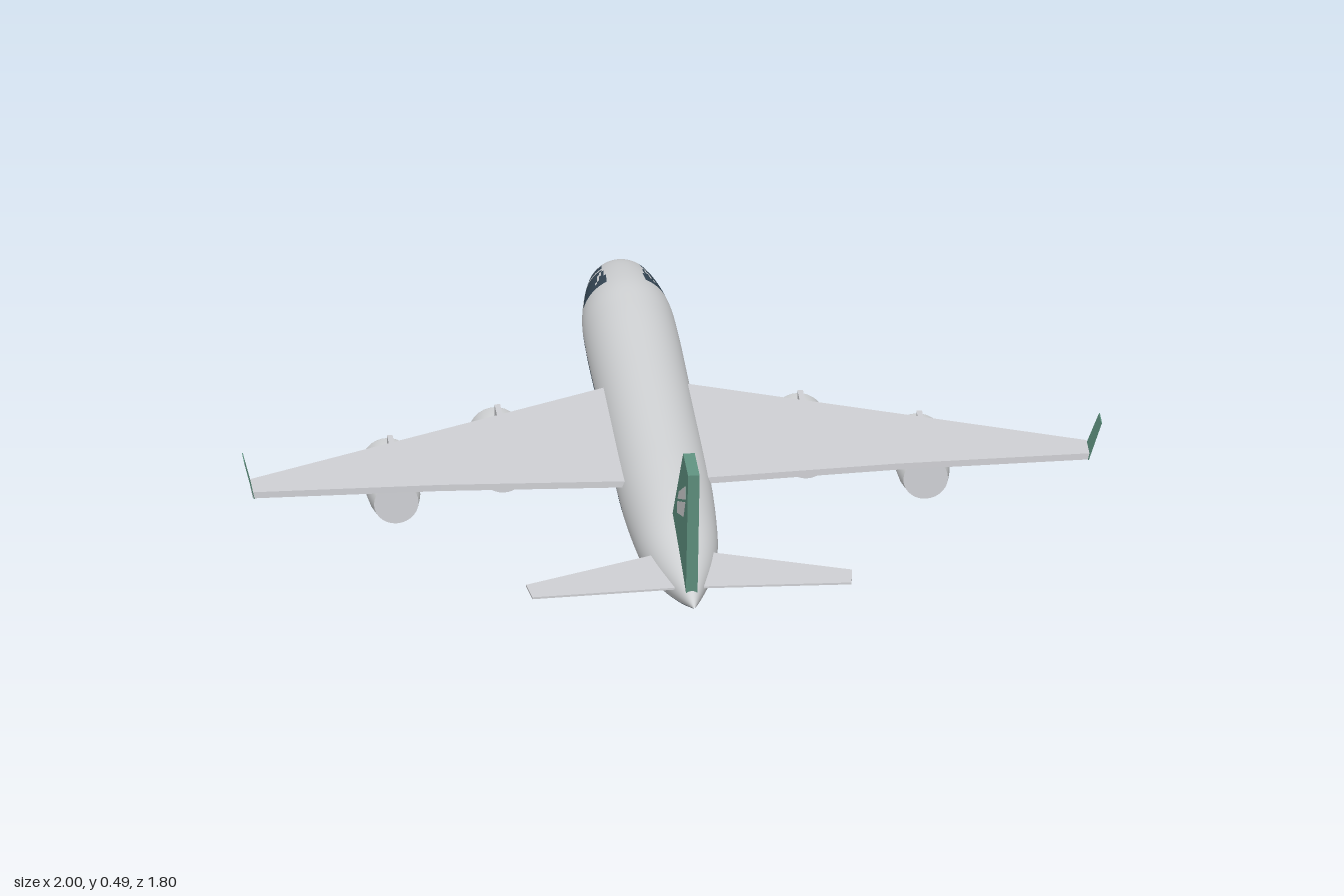
import * as THREE from 'three';

const mat = (name, color) => Object.assign(new THREE.MeshStandardMaterial({ color }), { name });

export function createModel() {
  const model = new THREE.Group();
  model.name = 'jetTransport';
  const hull = mat('hullGrey', 0xd3d5d7);
  const wingGrey = mat('wingGrey', 0xcfd0d4);
  const belly = mat('bellySlate', 0x7d8994);
  const navy = mat('darkNavy', 0x364857);
  const green = mat('tailGreen', 0x619482);
  const dark = mat('spinnerDark', 0x505358);

  const add = (name, geometry, material) => {
    const mesh = new THREE.Mesh(geometry, material);
    mesh.name = name;
    model.add(mesh);
    return mesh;
  };

  // Flat slab: polygon swept by +-off/2, corner order is fixed automatically
  function slab(points, off) {
    const p = points.map((a) => new THREE.Vector3(...a));
    const o = new THREE.Vector3(...off).multiplyScalar(0.5);
    const normal = new THREE.Vector3();
    p.forEach((v, i) => normal.add(v.clone().cross(p[(i + 1) % p.length])));
    if (normal.dot(o) < 0) p.reverse();
    const top = p.map((v) => v.clone().add(o));
    const low = p.map((v) => v.clone().sub(o));
    const out = [];
    const tri = (...vs) => vs.forEach((v) => out.push(v.x, v.y, v.z));
    // The fan starts at the first given corner, even when reversed
    const first = p.findIndex((v) => v.equals(new THREE.Vector3(...points[0])));
    const count = p.length;
    for (let i = 1; i < count - 1; i++) {
      const a = (first + i) % count;
      const b = (first + i + 1) % count;
      tri(top[first], top[a], top[b]);
      tri(low[first], low[b], low[a]);
    }
    for (let i = 0; i < count; i++) {
      const j = (i + 1) % count;
      tri(low[i], low[j], top[j]);
      tri(low[i], top[j], top[i]);
    }
    const g = new THREE.BufferGeometry();
    g.setAttribute('position', new THREE.Float32BufferAttribute(out, 3));
    g.computeVertexNormals();
    return g;
  }

  // Fuselage stations: z, top, bottom, half width
  const stations = [
    [-0.9, 0.097, 0.093, 0.002], [-0.88, 0.126, 0.073, 0.026], [-0.85, 0.158, 0.055, 0.049],
    [-0.8, 0.192, 0.036, 0.077], [-0.66, 0.22, 0.01, 0.103], [-0.52, 0.226, 0.004, 0.109],
    [-0.29, 0.226, 0.004, 0.109], [-0.08, 0.226, 0.004, 0.109], [0.14, 0.226, 0.004, 0.109],
    [0.28, 0.226, 0.005, 0.107], [0.43, 0.223, 0.017, 0.1], [0.55, 0.215, 0.035, 0.09],
    [0.66, 0.2, 0.062, 0.07], [0.78, 0.181, 0.102, 0.037], [0.9, 0.157, 0.153, 0.002],
  ];
  const heights = new THREE.CatmullRomCurve3(
    stations.map((s) => new THREE.Vector3(s[0], s[1], s[2])), false, 'catmullrom', 0.5);
  const widths = new THREE.CatmullRomCurve3(
    stations.map((s) => new THREE.Vector3(s[0], s[3], 0)), false, 'catmullrom', 0.5);

  // Paint zones of the fuselage skin: 0 hull, 1 belly, 2 navy
  function paintZone(x, y, z, cy, ry) {
    // Cockpit glass with thin frames
    if (z > -0.8 && z < -0.66 && y > 0.14 && y < 0.208 && Math.abs(x) > 0.045) {
      const post = Math.abs(z + 0.762) < 0.006;
      const rail = Math.abs(y - 0.19) < 0.0026 && z > -0.77 && z < -0.69;
      return post || rail ? 0 : 2;
    }
    // Rear wedge reaches further under the belly toward the tail
    const wedge = z >= 0.28 && z < 0.58;
    const reach = wedge ? 0.64 + (z - 0.28) * 0.9 : 0.64;
    if (y < cy - reach * ry) return 1;
    if (wedge) return y < 0.072 ? 2 : 0;
    if (z > 0.14 && z < 0.28) return y < 0.104 ? 2 : 0;
    if (z < -0.72 && z > -0.89) return y < 0.064 + (-z - 0.72) * 0.16 ? 2 : 0;
    if (z < -0.29 && z > -0.72) return y < 0.106 - Math.max(0, -z - 0.6) * 0.36 ? 2 : 0;
    return 0;
  }

  function fuselageGeometry() {
    const rings = (stations.length - 1) * 12;
    const sides = 96;
    const pos = [];
    const zones = [[], [], []];
    const info = [];
    for (let i = 0; i <= rings; i++) {
      const h = heights.getPoint(i / rings);
      const w = widths.getPoint(i / rings).y;
      const cy = (h.y + h.z) / 2;
      const ry = (h.y - h.z) / 2;
      info.push([h.x, cy, ry, w]);
      for (let j = 0; j < sides; j++) {
        const a = (j / sides) * Math.PI * 2;
        pos.push(Math.cos(a) * w, cy + Math.sin(a) * ry, h.x);
      }
    }
    for (let i = 0; i < rings; i++) {
      const [z, cy, ry, w] = info[i].map((v, k) => (v + info[i + 1][k]) / 2);
      for (let j = 0; j < sides; j++) {
        const a = ((j + 0.5) / sides) * Math.PI * 2;
        const k = (j + 1) % sides;
        const zone = paintZone(Math.cos(a) * w, cy + Math.sin(a) * ry, z, cy, ry);
        const p = i * sides;
        const q = p + sides;
        zones[zone].push(p + j, p + k, q + j, p + k, q + k, q + j);
      }
    }
    const g = new THREE.BufferGeometry();
    g.setAttribute('position', new THREE.Float32BufferAttribute(pos, 3));
    g.setIndex(zones.flat());
    let start = 0;
    zones.forEach((zone, m) => {
      g.addGroup(start, zone.length, m);
      start += zone.length;
    });
    g.computeVertexNormals();
    return g;
  }
  add('fuselage', fuselageGeometry(), [hull, belly, navy]);

  // Engine nacelle profile along its axis, front at 0
  const nacelleProfile = [
    [0.058, 0], [0.062, 0.01], [0.064, 0.05], [0.064, 0.13], [0.06, 0.18], [0.052, 0.22],
  ].map((p) => new THREE.Vector2(...p));
  const nacelle = new THREE.LatheGeometry(nacelleProfile, 28).rotateX(Math.PI / 2);
  const spinner = new THREE.ConeGeometry(0.007, 0.014, 12).rotateX(-Math.PI / 2);

  for (const s of [1, -1]) {
    const side = s > 0 ? 'left' : 'right';
    const at = (x, z) => [s * x, 0.155 + (x - 0.1) * 0.084, z];

    add(side + 'Wing', slab([
      at(0.53, 0.305), at(0.975, 0.37), at(0.975, 0.303), at(0.06, -0.239), at(0.06, 0.256),
    ], [0, 0.016, 0]), wingGrey);

    add(side + 'Winglet', slab([
      [s * 0.972, 0.22, 0.303], [s * 0.972, 0.22, 0.373],
      [s * 0.999, 0.336, 0.412], [s * 0.999, 0.336, 0.362],
    ], [0.002, 0, 0]), green);

    add(side + 'Tailplane', slab([
      [s * 0.02, 0.149, 0.597], [s * 0.38, 0.172, 0.78],
      [s * 0.372, 0.172, 0.845], [s * 0.02, 0.149, 0.785],
    ], [0, 0.005, 0]), wingGrey);

    // Two engines under each wing
    for (const [x, front, label] of [[0.353, -0.215, 'Inner'], [0.617, -0.085, 'Outer']]) {
      const place = (part, geometry, material, y, z) =>
        add(side + label + part, geometry, material).position.set(s * x, y, front + z);
      place('Nacelle', nacelle, hull, 0.068, 0);
      place('Intake', new THREE.CircleGeometry(0.058, 28).rotateY(Math.PI), wingGrey, 0.068, 0);
      place('Exhaust', new THREE.CircleGeometry(0.052, 28), wingGrey, 0.068, 0.22);
      place('Spinner', spinner, dark, 0.068, -0.006);
      place('Pylon', new THREE.BoxGeometry(0.013, 0.055, 0.15), wingGrey, 0.142, 0.145);
    }

    // Slanted stripes on the fin
    const stripes = [
      [[0.828, 0.437], [0.685, 0.35], [0.655, 0.316], [0.828, 0.402]],
      [[0.828, 0.395], [0.65, 0.307], [0.64, 0.272], [0.785, 0.335]],
    ];
    stripes.forEach((pts, i) => add(side + 'FinStripe' + (i + 1),
      slab(pts.map(([z, y]) => [s * 0.0135, y, z]), [0.002, 0, 0]), hull));
  }

  // Vertical fin
  add('tailFin', slab([
    [0, 0.2, 0.52], [0, 0.495, 0.775], [0, 0.495, 0.888], [0, 0.165, 0.84],
  ], [0.027, 0, 0]), green);

  return model;
}
